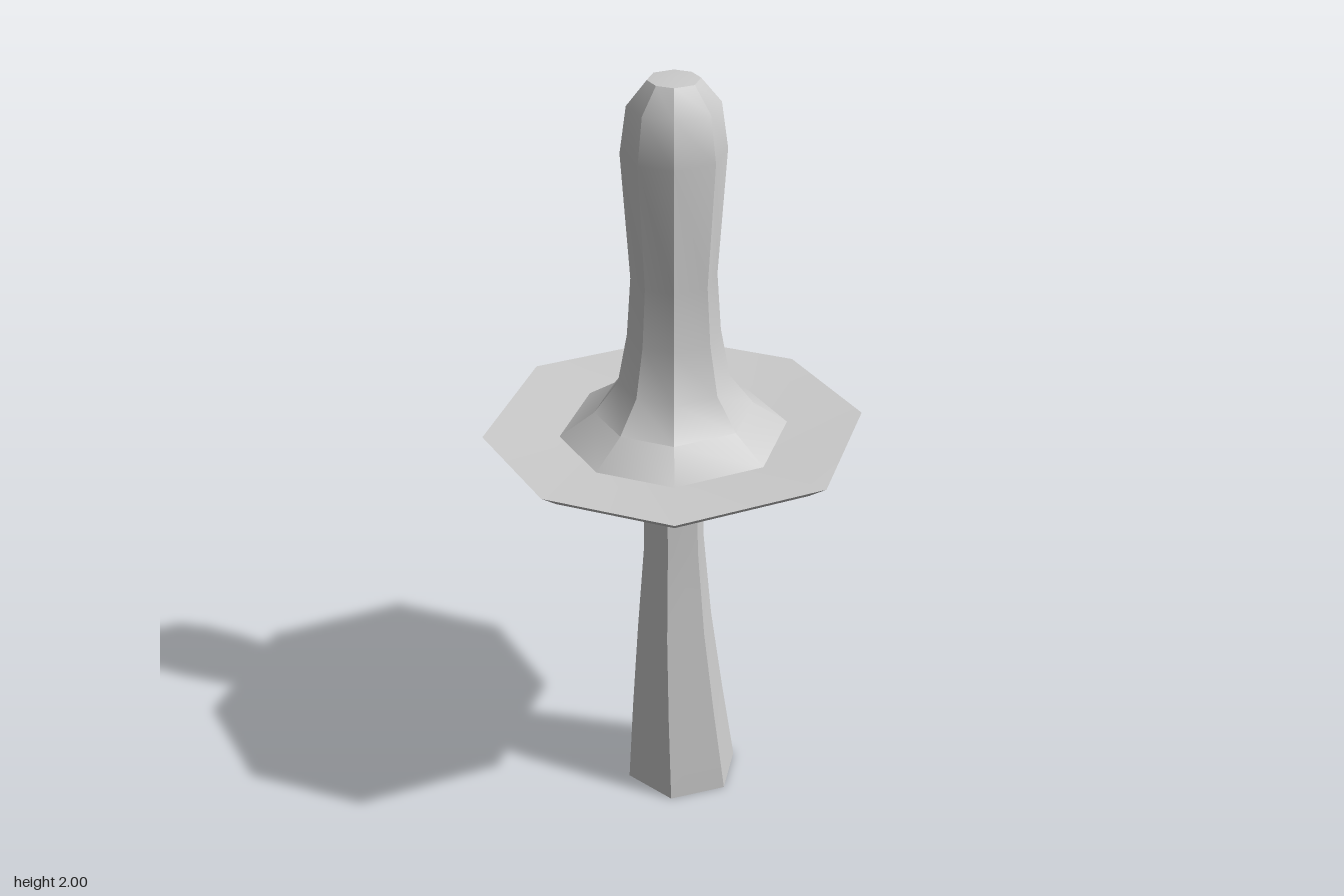
import * as THREE from 'three';
import { toCreasedNormals } from 'three/addons/utils/BufferGeometryUtils.js';

// Moves every vertex of a geometry by a rule, then keeps sharp edges sharp
function shape(geometry, rule) {
  const pos = geometry.attributes.position;
  const v = new THREE.Vector3();
  for (let i = 0; i < pos.count; i++) {
    v.fromBufferAttribute(pos, i);
    rule(v);
    pos.setXYZ(i, v.x, v.y, v.z);
  }
  return toCreasedNormals(geometry, 0.55);
}

export function createModel() {
  const group = new THREE.Group();
  const material = new THREE.MeshStandardMaterial({ color: 0xcccccc, side: THREE.DoubleSide });

  // Cap: eight-sided profile from the hollow underside, round the brim, up to the tip
  const profile = [
    [0.07, 1.2], [0.17, 1.1], [0.27, 1.035], [0.43, 1.053], [0.48, 1.09],
    [0.288, 1.078], [0.2, 1.14], [0.14, 1.22], [0.116, 1.35], [0.106, 1.5],
    [0.128, 1.82], [0.112, 1.935], [0.063, 1.995], [0, 2],
  ].map(([r, y]) => new THREE.Vector2(r, y));
  const capGeometry = shape(new THREE.LatheGeometry(profile, 8), (v) => {
    // The diagonal corners lean a little towards the front and back
    if (Math.abs(v.x) > 0.001 && Math.abs(v.z) > 0.001) {
      v.x *= 0.93;
      v.z *= 1.07;
    }
    v.z *= 0.99;
  });
  const cap = new THREE.Mesh(capGeometry, material);
  cap.name = 'cap';
  group.add(cap);

  // Stem: six-sided, flaring and drifting backwards towards the foot
  const rings = [ // y, radius, z centre
    [0, 0.152, -0.033], [0.25, 0.127, -0.016], [0.5, 0.102, -0.003],
    [0.75, 0.081, 0], [1.25, 0.077, 0.004],
  ];
  const last = rings.length - 1;
  const stemGeometry = shape(
    new THREE.CylinderGeometry(1, 1, last, 6, last, false, Math.PI / 2),
    (v) => {
      const [y, r, z] = rings[Math.round(v.y + last / 2)];
      v.set(v.x * r, y, v.z * r + z);
    },
  );
  const stem = new THREE.Mesh(stemGeometry, material);
  stem.name = 'stem';
  group.add(stem);

  return group;
}
